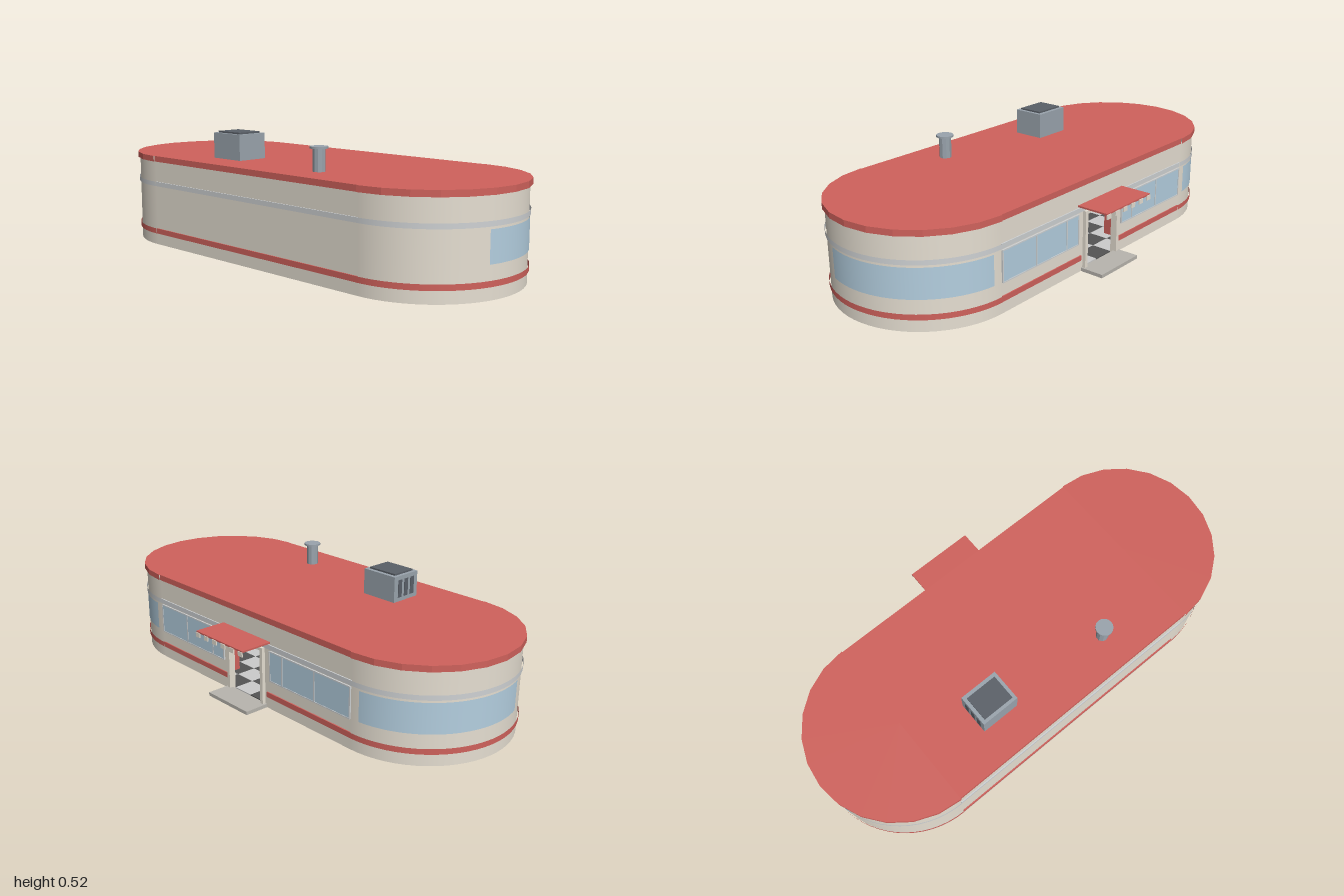
import * as THREE from 'three';

const CX = 0.605, CZ = 0.068, R = 0.385; // centres and radius of the rounded ends
const BACK = CZ - R, FRONT = CZ + R;

const mat = (color, extra = {}) => new THREE.MeshStandardMaterial({ color, ...extra });
const cream = mat(0xe6dfd2), creamThin = mat(0xe6dfd2, { side: THREE.DoubleSide });
const red = mat(0xd0625c), redFlat = mat(0xd0625c, { flatShading: true });
const redThin = mat(0xd0625c, { side: THREE.DoubleSide });
const trimThin = mat(0xcfd2d4, { side: THREE.DoubleSide }), trim = mat(0xcfd2d4);
const glass = mat(0xb4cfe0), glassThin = mat(0xb4cfe0, { side: THREE.DoubleSide });
const metal = mat(0x9aa4ad), metalFlat = mat(0x9aa4ad, { flatShading: true });
const dark = mat(0x5a6068), stone = mat(0xb8b5ae);
const tileLight = mat(0xd8d8d8), tileDark = mat(0x555555), teal = mat(0x2f7f7a);

export function createModel() {
  const model = new THREE.Group();
  model.name = 'diner';

  const add = (name, geo, material, x = 0, y = 0, z = 0, parent = model) => {
    const mesh = new THREE.Mesh(geo, material);
    mesh.name = name;
    mesh.position.set(x, y, z);
    parent.add(mesh);
    return mesh;
  };
  // Box given by its lower and upper limits on each axis
  const box = (name, m, x0, x1, y0, y1, z0, z1, parent) =>
    add(name, new THREE.BoxGeometry(x1 - x0, y1 - y0, z1 - z0), m,
      (x0 + x1) / 2, (y0 + y1) / 2, (z0 + z1) / 2, parent);
  // Part of a rounded end; angle runs from the front (0) to the back (PI)
  const arc = (name, m, side, r, y0, y1, a0 = 0, a1 = Math.PI, seg = 32, open = true) =>
    add(name, new THREE.CylinderGeometry(r, r, y1 - y0, seg, 1, open,
      side > 0 ? a0 : 2 * Math.PI - a1, a1 - a0), m, side * CX, (y0 + y1) / 2, CZ);

  // Raised band around the building, with a gap at the door
  const band = (name, flat, thin, y0, y1, doorGap) => {
    for (const s of [-1, 1]) {
      arc(name + 'End', thin, s, R + 0.006, y0, y1);
      const inner = doorGap ? 0.13 : 0;
      box(name + 'Back', flat, Math.min(s * inner, s * CX), Math.max(s * inner, s * CX),
        y0, y1, BACK - 0.005, BACK + 0.002);
    }
    box(name + 'Front', flat, -CX, CX, y0, y1, FRONT - 0.002, FRONT + 0.005);
  };

  // Walls: rounded ends, plain front, back with a doorway
  for (const s of [-1, 1]) arc('endWall', creamThin, s, R, 0, 0.38);
  box('frontWall', cream, -CX, CX, 0, 0.38, FRONT - 0.015, FRONT);
  for (const s of [-1, 1])
    box('backWall', cream, s > 0 ? 0.11 : -CX, s > 0 ? CX : -0.11, 0, 0.38, BACK, BACK + 0.015);
  box('doorLintel', cream, -0.11, 0.11, 0.26, 0.38, BACK, BACK + 0.015);
  band('redBand', red, redThin, 0.05, 0.073, true);
  band('upperTrim', trim, trimThin, 0.265, 0.285, false);

  // Roof: middle slab and two faceted half discs
  box('roofMiddle', red, -CX, CX, 0.375, 0.4, CZ - 0.391, CZ + 0.391);
  for (const s of [-1, 1])
    arc('roofEnd', redFlat, s, 0.395, 0.375, 0.4, 0, Math.PI, 12, false);

  // Windows: curved glass at the ends, three panes each side of the door
  const panes = [0.6, 0.41, 0.225, 0.15];
  for (const s of [-1, 1]) {
    arc('curvedWindow', glassThin, s, R + 0.003, 0.13, 0.255, 1.27, Math.PI - 0.1);
    for (let i = 0; i < 3; i++) {
      const w = panes[i] - panes[i + 1];
      add('windowPane', new THREE.BoxGeometry(w - 0.006, 0.125, 0.006), glass,
        s * (panes[i] - w / 2), 0.1925, BACK - 0.001);
    }
    for (const x of panes)
      add('mullion', new THREE.BoxGeometry(0.006, 0.131, 0.01), trim, s * x, 0.1925, BACK - 0.001);
  }
  for (const s of [-1, 1]) for (const y of [0.128, 0.257])
    add('windowRail', new THREE.BoxGeometry(0.45, 0.005, 0.01), trim, s * 0.375, y, BACK - 0.001);

  // Entrance: frame, step and fringed canopy
  for (const s of [-1, 1])
    add('doorPost', new THREE.BoxGeometry(0.016, 0.26, 0.03), cream, s * 0.108, 0.13, BACK);
  add('doorHead', new THREE.BoxGeometry(0.232, 0.014, 0.03), cream, 0, 0.257, BACK);
  box('doorStep', stone, -0.125, 0.125, 0, 0.015, -0.425, BACK);
  box('canopy', red, -0.15, 0.15, 0.29, 0.297, -0.459, BACK);
  for (let i = 0; i < 6; i++)
    add('canopyFringe', new THREE.BoxGeometry(0.025, 0.02, 0.005), cream, -0.1375 + i * 0.055, 0.282, -0.4595);

  // Roof vent with dark lid and louvres
  const vent = new THREE.Group();
  vent.name = 'roofVent';
  model.add(vent);
  box('ventBox', metal, -0.365, -0.195, 0.4, 0.51, 0.172, 0.313, vent);
  box('ventLid', dark, -0.35, -0.21, 0.51, 0.517, 0.189, 0.299, vent);
  for (let i = 0; i < 3; i++)
    add('louvre', new THREE.BoxGeometry(0.004, 0.075, 0.022), dark, -0.365, 0.455, 0.206 + i * 0.037, vent);

  // Chimney pipe
  add('chimney', new THREE.CylinderGeometry(0.026, 0.026, 0.09, 10), metalFlat, 0.27, 0.445, 0.308);
  add('chimneyCap', new THREE.CylinderGeometry(0.037, 0.037, 0.008, 16), metal, 0.27, 0.494, 0.308);

  // Checkered floor between the rounded ends
  const NX = 12, NZ = 8, tw = 1.2 / NX, td = (2 * R - 0.03) / NZ;
  const floor = new THREE.Group();
  floor.name = 'floor';
  model.add(floor);
  for (let i = 0; i < NX; i++) for (let j = 0; j < NZ; j++)
    add('floorTile', new THREE.BoxGeometry(tw, 0.006, td), (i + j) % 2 ? tileDark : tileLight,
      -0.6 + tw * (i + 0.5), 0.005, BACK + 0.015 + td * (j + 0.5), floor);

  // Counter, back counter and stools
  box('counter', teal, -0.43, 0.43, 0.001, 0.11, 0.25, 0.3);
  box('counterTop', trim, -0.44, 0.44, 0.11, 0.118, 0.235, 0.31);
  box('backCounter', teal, -0.43, 0.43, 0.001, 0.11, 0.39, FRONT - 0.016);
  for (let i = 0; i < 7; i++) {
    const x = -0.36 + i * 0.12;
    add('stoolBase', new THREE.CylinderGeometry(0.018, 0.018, 0.008, 12), metal, x, 0.005, 0.185);
    add('stoolPost', new THREE.CylinderGeometry(0.005, 0.005, 0.07, 8), metal, x, 0.04, 0.185);
    add('stoolSeat', new THREE.CylinderGeometry(0.024, 0.024, 0.014, 16), red, x, 0.08, 0.185);
  }

  // Booths by the back windows: facing benches around a table
  for (const s of [-1, 1]) {
    for (const d of [-1, 1]) {
      add('boothSeat', new THREE.BoxGeometry(0.06, 0.05, 0.13), red, s * 0.4 + d * 0.125, 0.026, -0.23);
      add('boothBack', new THREE.BoxGeometry(0.016, 0.12, 0.13), red, s * 0.4 + d * 0.15, 0.061, -0.23);
    }
    add('tablePost', new THREE.CylinderGeometry(0.01, 0.01, 0.08, 8), metal, s * 0.4, 0.041, -0.23);
    add('tableTop', new THREE.BoxGeometry(0.12, 0.008, 0.13), trim, s * 0.4, 0.085, -0.23);
  }
  return model;
}
